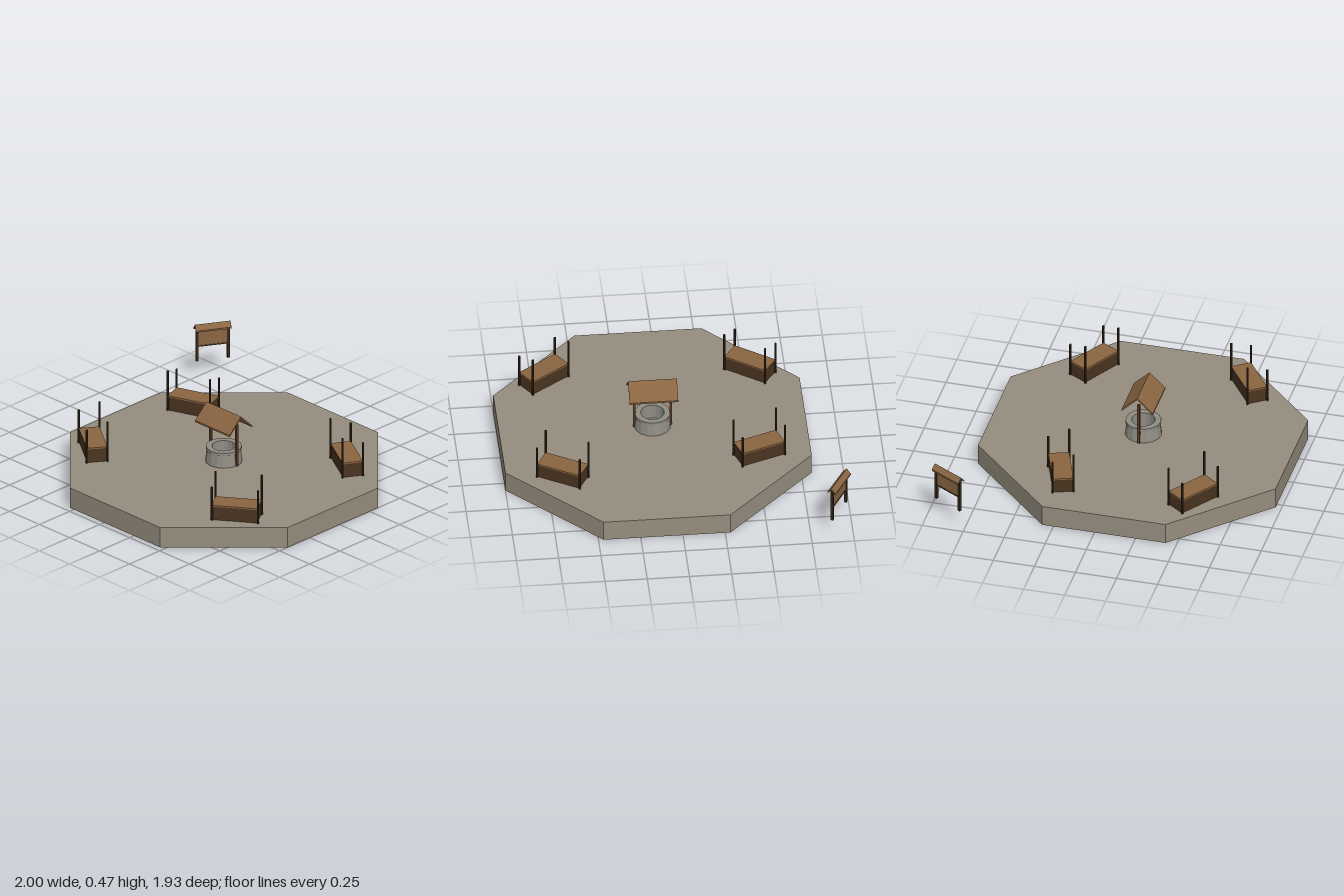
import * as THREE from 'three';

const material = (name, color, side = THREE.FrontSide) => {
  const m = new THREE.MeshStandardMaterial({ color, side, flatShading: true });
  m.name = name;
  return m;
};

export function createModel() {
  const stone = material('paving stone', 0x968d7e, THREE.DoubleSide);
  const wellStone = material('well stone', 0x908d84, THREE.DoubleSide);
  const plank = material('plank wood', 0x8b6642);
  const darkWood = material('dark wood', 0x4a3420);
  const postWood = material('post wood', 0x38291a);
  const wellWood = material('well post wood', 0x5a3c24);

  const model = new THREE.Group();
  model.name = 'marketSquare';
  const GROUND = 0.13;

  const add = (parent, name, geometry, mat, x = 0, y = 0, z = 0) => {
    const mesh = new THREE.Mesh(geometry, mat);
    mesh.name = name;
    mesh.position.set(x, y, z);
    parent.add(mesh);
    return mesh;
  };
  const group = (name, x, z, degrees = 0) => {
    const g = new THREE.Group();
    g.name = name;
    g.position.set(x, 0, z);
    g.rotation.y = THREE.MathUtils.degToRad(degrees);
    model.add(g);
    return g;
  };
  // Upright post given by its bottom and top heights
  const post = (parent, name, radius, x, z, y0, y1, mat) =>
    add(parent, name, new THREE.CylinderGeometry(radius, radius, y1 - y0, 8), mat, x, (y0 + y1) / 2, z);

  // Two-slope roof of thin boards, extruded along x
  const gable = (parent, length, half, eave, ridge, thick) => {
    const s = new THREE.Shape();
    s.moveTo(-half, eave);
    s.lineTo(0, ridge - thick);
    s.lineTo(half, eave);
    s.lineTo(half, eave + thick);
    s.lineTo(0, ridge);
    s.lineTo(-half, eave + thick);
    s.closePath();
    const g = new THREE.ExtrudeGeometry(s, { depth: length, bevelEnabled: false });
    g.translate(0, 0, -length / 2).rotateY(Math.PI / 2);
    add(parent, 'roof', g, plank);
  };

  // Eight-sided platform: paved top and skirt, open underneath
  const platform = group('platform', 0.094, 0.058);
  const R = 0.981;
  add(platform, 'skirt', new THREE.CylinderGeometry(R, R, GROUND, 8, 1, true, Math.PI / 8), stone, 0, GROUND / 2);
  const top = new THREE.CircleGeometry(R, 8, Math.PI / 8);
  top.rotateX(-Math.PI / 2);
  add(platform, 'paving', top, stone, 0, GROUND);

  // Well: tapered thick ring sunk through the paving, two posts and a roof
  const well = group('well', 0.094, 0.06);
  const profile = [
    [0.07, 0.04], [0.109, 0.04], [0.109, 0.135], [0.101, 0.205],
    [0.106, 0.208], [0.106, 0.225], [0.07, 0.225], [0.07, 0.04],
  ].map(([x, y]) => new THREE.Vector2(x, y));
  add(well, 'wellWall', new THREE.LatheGeometry(profile, 16), wellStone);
  for (const s of [-1, 1]) {
    add(well, 'wellPost', new THREE.BoxGeometry(0.015, 0.27, 0.015), wellWood, s * 0.108, 0.265, 0);
  }
  gable(well, 0.288, 0.095, 0.363, 0.465, 0.011);

  // Market stalls: counter with tall posts on the inner side, short ones outside
  const stalls = [
    [-0.505, -0.285, 20], [0.668, -0.39, -30],
    [-0.527, 0.527, 145], [0.69, 0.547, 215],
  ];
  for (const [x, z, angle] of stalls) {
    const stall = group('marketStall', x, z, angle);
    add(stall, 'counterBody', new THREE.BoxGeometry(0.268, 0.088, 0.116), darkWood, 0, GROUND + 0.044);
    add(stall, 'counterTop', new THREE.BoxGeometry(0.276, 0.009, 0.124), plank, 0, GROUND + 0.0915);
    for (const s of [-1, 1]) {
      post(stall, 'innerPost', 0.007, s * 0.138, 0.062, 0.126, 0.388, postWood);
      post(stall, 'outerPost', 0.007, s * 0.138, -0.062, 0.126, 0.345, postWood);
    }
  }

  // Notice board standing apart, under a small roof
  const notice = group('noticeBoard', -0.922, -0.862, 60);
  add(notice, 'board', new THREE.BoxGeometry(0.18, 0.11, 0.01), plank, 0, 0.278);
  add(notice, 'bottomRail', new THREE.BoxGeometry(0.19, 0.008, 0.014), darkWood, 0, 0.222);
  for (const s of [-1, 1]) {
    add(notice, 'boardPost', new THREE.BoxGeometry(0.016, 0.215, 0.016), postWood, s * 0.095, 0.2325);
  }
  gable(notice, 0.218, 0.026, 0.322, 0.362, 0.01);

  return model;
}
